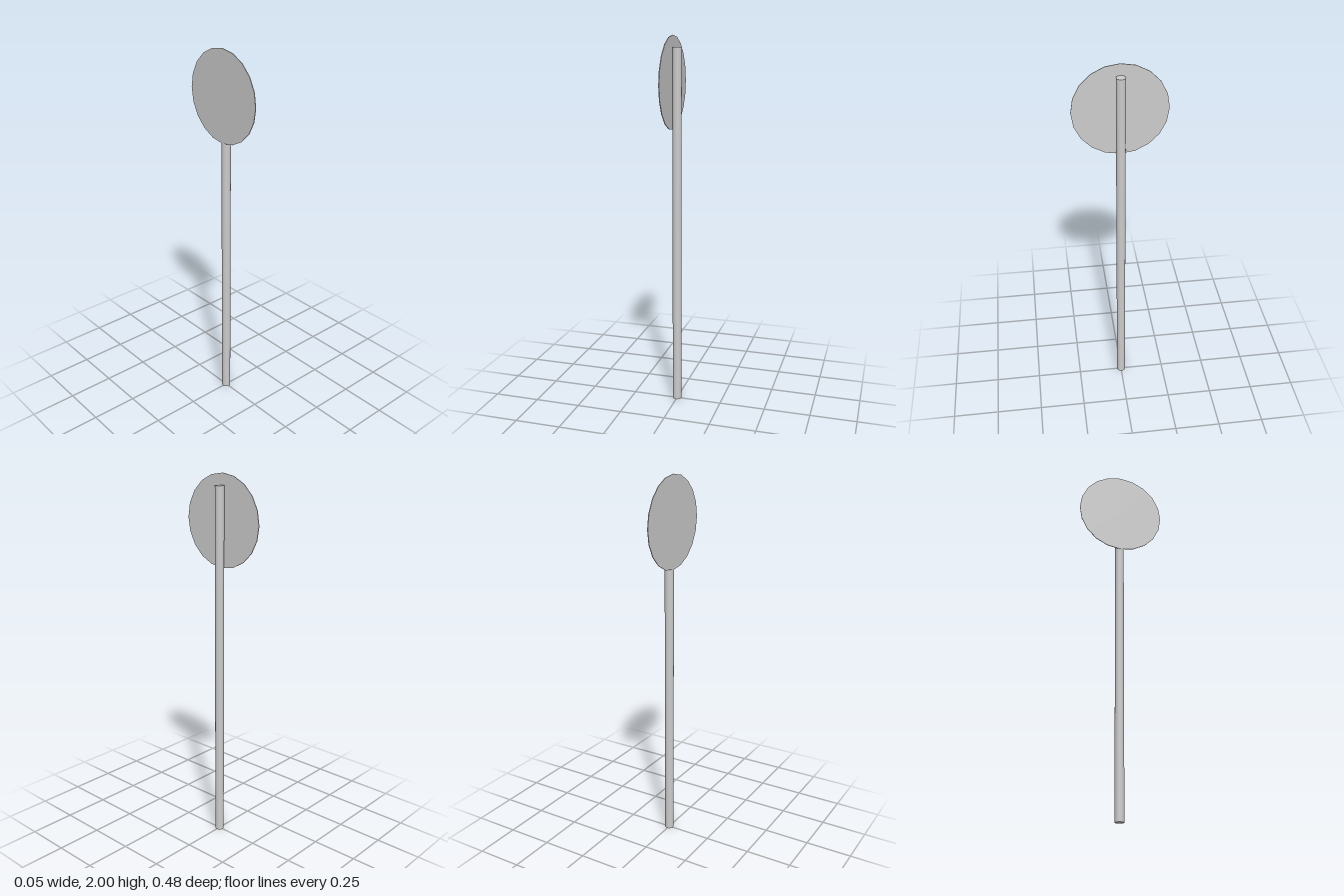
import * as THREE from 'three';

const SIDES = 20;

export function createModel() {
  const group = new THREE.Group();
  const material = new THREE.MeshStandardMaterial({ color: 0xcccccc });

  // Upright round post standing on the ground
  const postHeight = 1.94;
  const post = new THREE.Mesh(new THREE.CylinderGeometry(0.024, 0.024, postHeight, SIDES), material);
  post.name = 'post';
  post.position.y = postHeight / 2;
  group.add(post);

  // Thin round plate fixed to the side of the post, its axis along x
  const plate = new THREE.Mesh(new THREE.CylinderGeometry(0.24, 0.24, 0.004, SIDES), material);
  plate.name = 'signPlate';
  plate.rotation.z = Math.PI / 2;
  plate.position.set(-0.023, 1.76, 0);
  group.add(plate);

  return group;
}
